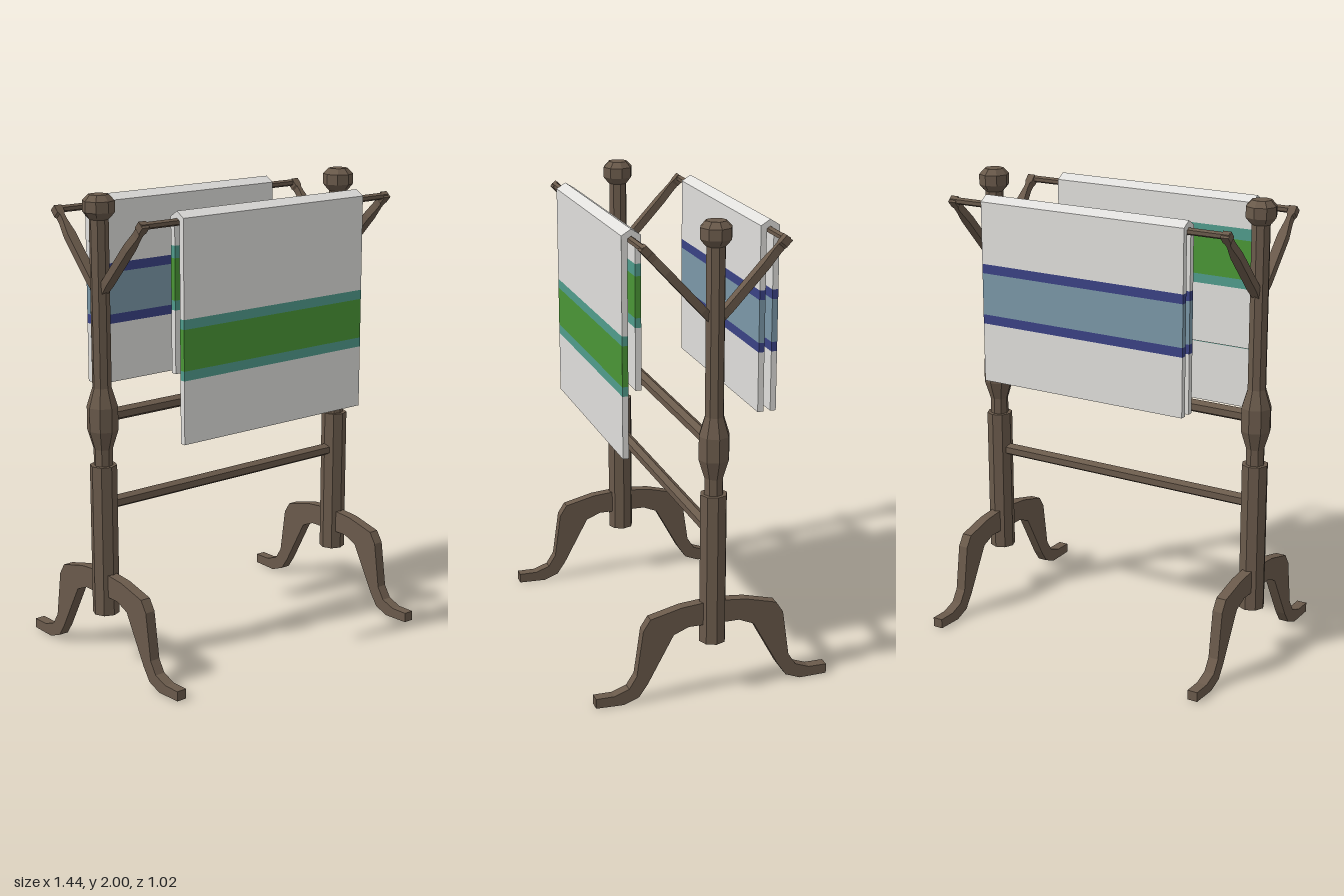
import * as THREE from 'three';

const mat = (name, color) => {
  const m = new THREE.MeshStandardMaterial({ color });
  m.name = name;
  m.flatShading = true;
  return m;
};

export function createModel() {
  const wood = mat('dark wood', 0x6a5a4b);
  const cloth = mat('pale cloth', 0xe0dfdc);
  const green = mat('green', 0x4a9636);
  const teal = mat('teal', 0x509c8c);
  const navy = mat('navy', 0x3a4285);
  const steel = mat('steel blue', 0x7b98a8);

  const model = new THREE.Group();
  model.name = 'towelRack';
  const add = (parent, name, geometry, material) => {
    const mesh = new THREE.Mesh(geometry, material);
    mesh.name = name;
    parent.add(mesh);
    return mesh;
  };
  const shapeOf = (pts) => new THREE.Shape(pts.map(([a, b]) => new THREE.Vector2(a, b)));
  const extrude = (pts, depth) =>
    new THREE.ExtrudeGeometry(shapeOf(pts), { depth, bevelEnabled: false }).translate(0, 0, -depth / 2);
  // Outline given as [z, y], extruded along x
  const extrudeX = (pts, width) => extrude(pts, width).rotateY(-Math.PI / 2);
  // Hexagonal bar along x with an edge on top
  const bar = (r, length) => new THREE.CylinderGeometry(r, r, length, 6)
    .rotateY(Math.PI / 2).rotateZ(Math.PI / 2);

  const POST_X = 0.655;
  const ROD_Z = 0.29;

  // Turned octagonal post, [radius, y]
  const postProfile = [
    [0, 0.23], [0.057, 0.23], [0.057, 0.88], [0.04, 0.88], [0.04, 0.95], [0.065, 1.03],
    [0.065, 1.13], [0.04, 1.21], [0.04, 1.9], [0.05, 1.91], [0.066, 1.93], [0.066, 1.975],
    [0.042, 2], [0, 2],
  ].map(([r, y]) => new THREE.Vector2(r, y));

  // Both legs of one side as a single arch, [z, y]
  const outer = [[0.14, 0.402], [0.275, 0.368], [0.306, 0.32], [0.335, 0.12], [0.368, 0.068],
    [0.43, 0.045], [0.51, 0.045], [0.51, 0.003]];
  const inner = [[0.39, 0], [0.325, 0.025], [0.287, 0.08], [0.175, 0.285], [0.11, 0.312]];
  const half = [...outer, ...inner];
  const legOutline = [[0, 0.415], ...half, [0, 0.312],
    ...half.slice().reverse().map(([z, y]) => [-z, y])];

  // Arm outline with a narrow neck below its head, [x, distance along arm]
  const armHalf = [[0.012, 0], [0.021, 0.08], [0.021, 0.3], [0.011, 0.37], [0.011, 0.395],
    [0.018, 0.405], [0.018, 0.44]];
  const armOutline = [...armHalf, ...armHalf.slice().reverse().map(([x, y]) => [-x, y])];

  for (const [side, name] of [[1, 'left'], [-1, 'right']]) {
    const stand = new THREE.Group();
    stand.name = name + 'Stand';
    stand.position.x = side * POST_X;
    model.add(stand);
    add(stand, 'post', new THREE.LatheGeometry(postProfile, 8), wood);
    add(stand, 'legs', extrudeX(legOutline, 0.045), wood);
    for (const dir of [1, -1]) {
      const arm = add(stand, dir > 0 ? 'frontArm' : 'backArm', extrude(armOutline, 0.034), wood);
      arm.position.y = 1.59;
      arm.rotation.x = dir * Math.atan2(0.295, 0.32);
    }
  }

  // Cross rails and hanging rods
  for (const [name, y, z, r, length] of [
    ['upperRail', 1.086, 0, 0.028, 1.29], ['lowerRail', 0.708, 0, 0.028, 1.29],
    ['frontRod', 1.906, ROD_Z, 0.015, 1.34], ['backRod', 1.906, -ROD_Z, 0.015, 1.34],
  ]) add(model, name, bar(r, length), wood).position.set(0, y, z);

  // Towels: folded top plus hanging panels cut into coloured bands
  const WIDTH = 0.975;
  const foldOutline = [[0.04, 1.9], [0.04, 1.925], [0, 1.95], [-0.04, 1.925], [-0.04, 1.9],
    [-0.015, 1.9], [-0.015, 1.912], [0, 1.922], [0.015, 1.912], [0.015, 1.9]];
  const towel = (name, z, edge, middle, panels) => {
    const group = new THREE.Group();
    group.name = name;
    group.position.z = z;
    model.add(group);
    add(group, 'fold', extrudeX(foldOutline, WIDTH), cloth);
    const materials = [cloth, edge, middle, edge, cloth];
    const labels = ['lowerCloth', 'lowerStripe', 'middleStripe', 'upperStripe', 'upperCloth'];
    for (const [pz, heights] of panels) {
      materials.forEach((m, i) => {
        const h = heights[i + 1] - heights[i];
        add(group, labels[i], new THREE.BoxGeometry(WIDTH, h, 0.025), m)
          .position.set(0, heights[i] + h / 2, pz);
      });
    }
  };
  towel('frontTowel', ROD_Z, teal, green, [
    [0.0275, [1.005, 1.27, 1.31, 1.48, 1.52, 1.9]],
    [-0.0275, [1.29, 1.55, 1.59, 1.76, 1.81, 1.9]],
  ]);
  const backBands = [1.145, 1.4, 1.44, 1.62, 1.66, 1.9];
  towel('backTowel', -ROD_Z, navy, steel, [[0.0275, backBands], [-0.0275, backBands]]);

  return model;
}
